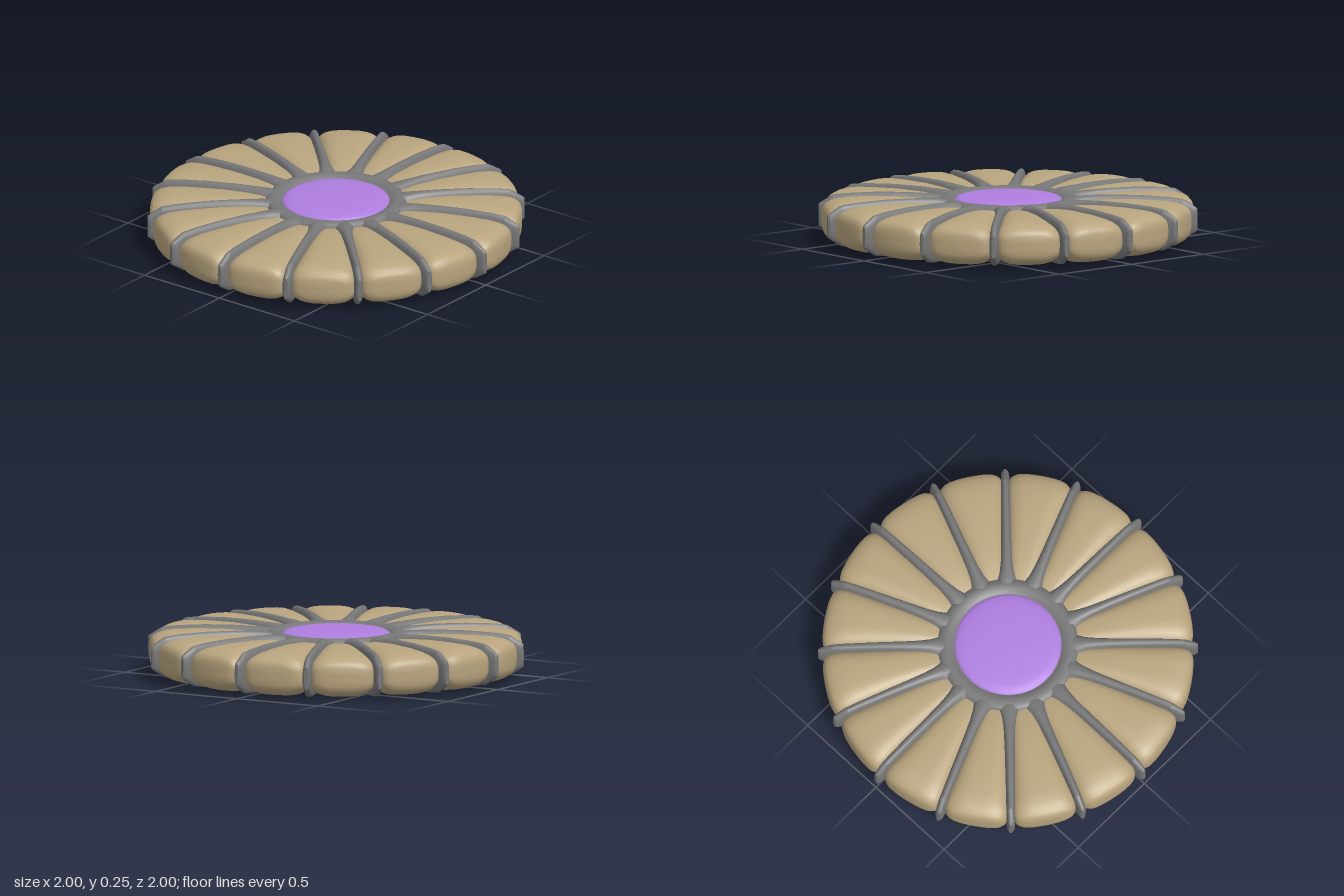
import * as THREE from 'three';

const MID = 0.1275; // mid height, the wheel is mirrored above and below it
const COUNT = 16;
const STEP = (Math.PI * 2) / COUNT;

const mat = (color) => new THREE.MeshStandardMaterial({ color });

// Radial loft of superellipse sections [radius, half width, half height].
// With polar set, widths are angles, so the ends follow an arc.
function radialLoft(sections, power, sides, polar) {
  const pos = [], index = [];
  const point = ([r, w, h], j) => {
    const a = (j / sides) * Math.PI * 2, c = Math.cos(a), s = Math.sin(a);
    const lat = Math.sign(c) * Math.abs(c) ** (2 / power) * w;
    const y = MID + Math.sign(s) * Math.abs(s) ** (2 / power) * h;
    if (polar) pos.push(r * Math.cos(lat), y, -r * Math.sin(lat));
    else pos.push(r, y, -lat);
  };
  sections.forEach((sec, i) => {
    for (let j = 0; j < sides; j++) {
      point(sec, j);
      if (i === sections.length - 1) continue;
      const k = (j + 1) % sides, a = i * sides + j, b = i * sides + k;
      index.push(a, b, a + sides, b, b + sides, a + sides);
    }
  });
  // outer cap with its own vertices
  const end = sections[sections.length - 1], base = pos.length / 3;
  for (let j = 0; j < sides; j++) point(end, j);
  pos.push(end[0], MID, 0);
  for (let j = 0; j < sides; j++) index.push(base + sides, base + j, base + ((j + 1) % sides));
  const geo = new THREE.BufferGeometry();
  geo.setAttribute('position', new THREE.Float32BufferAttribute(pos, 3));
  geo.setIndex(index);
  geo.computeVertexNormals();
  return geo;
}

// Lathe from an upper profile (centre outwards), mirrored below
function mirroredLathe(profile) {
  const lower = profile.map(([r, h]) => new THREE.Vector2(r, MID - h));
  const upper = profile.map(([r, h]) => new THREE.Vector2(r, MID + h)).reverse();
  return new THREE.LatheGeometry([...lower, ...upper], 64);
}

export function createModel() {
  const group = new THREE.Group();
  const add = (name, geo, material, angle = 0) => {
    const mesh = new THREE.Mesh(geo, material);
    mesh.name = name;
    mesh.rotation.y = angle;
    group.add(mesh);
  };
  const grey = mat(0x777777), tan = mat(0xb8a47e), purple = mat(0xaf7ee0);

  // hub with a shallow dished seat for the centre disc
  add('hub', mirroredLathe([[0, 0.09], [0.275, 0.092], [0.29, 0.104], [0.31, 0.113],
    [0.335, 0.115], [0.36, 0.108], [0.375, 0.085], [0.38, 0.04]]), grey);

  // domed centre disc
  add('centreDisc', mirroredLathe([[0, 0.123], [0.1, 0.122], [0.18, 0.119], [0.235, 0.114],
    [0.265, 0.108], [0.28, 0.1], [0.285, 0.09], [0.285, 0.06]]), purple);

  // spokes flare into the hub and taper at the rim
  const spokeGeo = radialLoft([[0.31, 0.07, 0.108], [0.34, 0.07, 0.115], [0.37, 0.064, 0.119],
    [0.41, 0.05, 0.122], [0.47, 0.04, 0.125], [0.55, 0.035, 0.1275], [0.7, 0.031, 0.1265],
    [0.85, 0.028, 0.118], [0.92, 0.026, 0.109], [0.93, 0.026, 0.106], [0.985, 0.021, 0.071],
    [0.995, 0.015, 0.064], [1, 0.01, 0.06]], 2.6, 24, false);

  // cushioned wedges between the spokes
  const wedgeGeo = radialLoft([[0.34, 0.17, 0.085], [0.4, 0.18, 0.1], [0.48, 0.185, 0.111],
    [0.6, 0.188, 0.119], [0.75, 0.188, 0.12], [0.85, 0.188, 0.116], [0.9, 0.187, 0.109],
    [0.935, 0.182, 0.099], [0.96, 0.168, 0.085], [0.973, 0.148, 0.07],
    [0.979, 0.12, 0.05], [0.981, 0.07, 0.025], [0.981, 0.005, 0.003]], 3.2, 40, true);

  for (let i = 0; i < COUNT; i++) {
    add('spoke', spokeGeo, grey, i * STEP);
    add('wedge', wedgeGeo, tan, (i + 0.5) * STEP);
  }
  return group;
}
